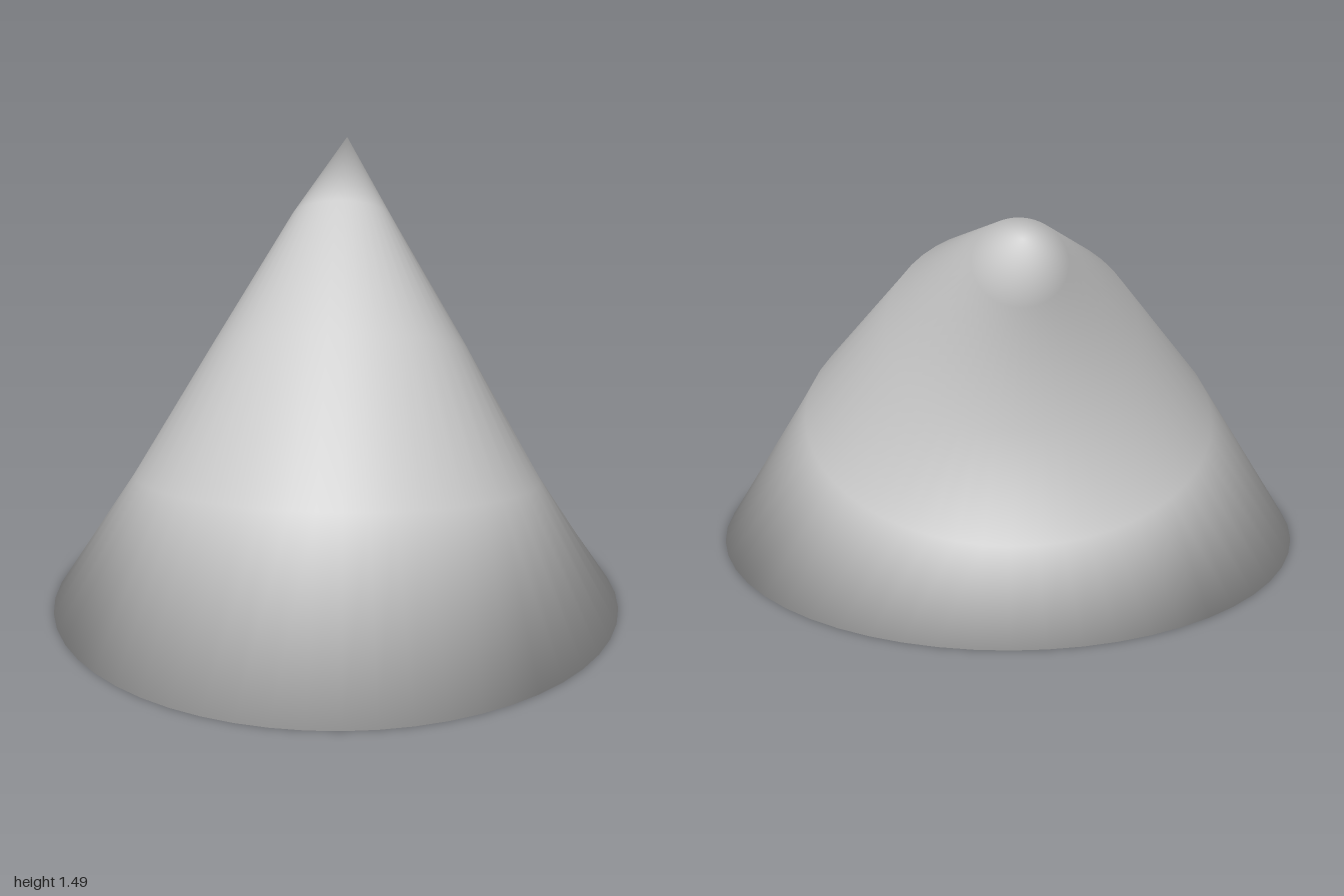
import * as THREE from 'three';

const SIDES = 48;

// Rings up the bent cone: centre, radius and the axis the ring faces along
const RINGS = [
  { centre: [0, 0, 0], radius: 1, axis: [0, 1, 0] },
  { centre: [-0.04, 0.49, -0.05], radius: 0.72, axis: [-0.18, 1, -0.21] },
  { centre: [-0.165, 0.92, -0.195], radius: 0.45, axis: [-0.39, 1, -0.44] },
  { centre: [-0.355, 1.295, -0.4], radius: 0.175, axis: [-0.64, 1, -0.7] },
];
const TIP = [-0.51, 1.49, -0.59];

function bentConeGeometry() {
  const positions = [];
  const indices = [];
  const up = new THREE.Vector3(0, 1, 0);

  for (const { centre, radius, axis } of RINGS) {
    const tilt = new THREE.Quaternion().setFromUnitVectors(up, new THREE.Vector3(...axis).normalize());
    const origin = new THREE.Vector3(...centre);
    for (let i = 0; i < SIDES; i++) {
      const a = (i / SIDES) * Math.PI * 2;
      const p = new THREE.Vector3(Math.sin(a) * radius, 0, Math.cos(a) * radius);
      positions.push(...p.applyQuaternion(tilt).add(origin).toArray());
    }
  }
  const tip = RINGS.length * SIDES;
  const baseCentre = tip + 1;
  positions.push(...TIP, 0, 0, 0);

  const last = RINGS.length - 1;
  for (let i = 0; i < SIDES; i++) {
    const j = (i + 1) % SIDES;
    // Side walls
    for (let k = 0; k < last; k++) {
      const lower = k * SIDES;
      const upper = lower + SIDES;
      indices.push(lower + i, lower + j, upper + j, lower + i, upper + j, upper + i);
    }
    // Point and underside
    indices.push(last * SIDES + i, last * SIDES + j, tip);
    indices.push(baseCentre, j, i);
  }

  const geometry = new THREE.BufferGeometry();
  geometry.setAttribute('position', new THREE.Float32BufferAttribute(positions, 3));
  geometry.setIndex(indices);
  geometry.computeVertexNormals();

  // Softly shaded rim, shared by the wall and the underside
  const normal = geometry.attributes.normal;
  for (let i = 0; i < SIDES; i++) {
    const a = (i / SIDES) * Math.PI * 2;
    normal.setXYZ(i, Math.sin(a) * 0.91, -0.41, Math.cos(a) * 0.91);
  }
  return geometry;
}

export function createModel() {
  const group = new THREE.Group();
  group.name = 'bentCone';
  const material = new THREE.MeshStandardMaterial({ color: 0xcccccc });
  const spike = new THREE.Mesh(bentConeGeometry(), material);
  spike.name = 'curvedSpike';
  group.add(spike);
  return group;
}
